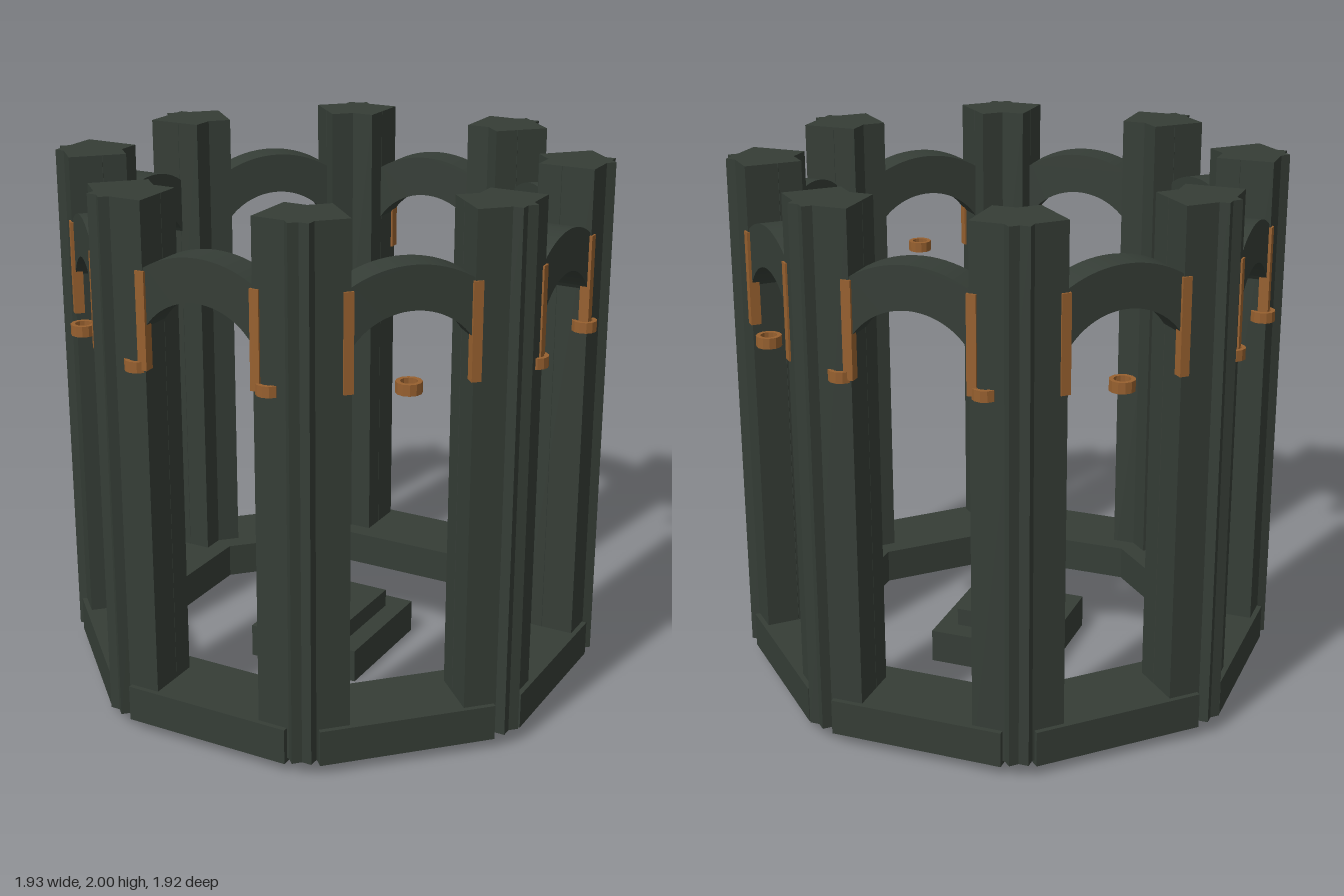
import * as THREE from 'three';

const stone = new THREE.MeshStandardMaterial({ color: 0x353d36 });
stone.name = 'dark green stone';
const copper = new THREE.MeshStandardMaterial({ color: 0x97602f });
copper.name = 'copper';

function add(parent, name, geometry, material, x = 0, y = 0, z = 0) {
  const mesh = new THREE.Mesh(geometry, material);
  mesh.name = name;
  mesh.position.set(x, y, z);
  parent.add(mesh);
  return mesh;
}

// Box given by its bounds on each axis
function block(parent, name, material, [x0, x1], [y0, y1], [z0, z1]) {
  return add(parent, name, new THREE.BoxGeometry(x1 - x0, y1 - y0, z1 - z0), material,
    (x0 + x1) / 2, (y0 + y1) / 2, (z0 + z1) / 2);
}

// Half-ring arch whose springing ends sit inside the columns
function archGeometry(inner, outer, depth) {
  const shape = new THREE.Shape();
  shape.absarc(0, 0, outer, 0, Math.PI, false);
  shape.absarc(0, 0, inner, Math.PI, 0, true);
  return new THREE.ExtrudeGeometry(shape, { depth, bevelEnabled: false, curveSegments: 24 });
}

// Short open collar with a rectangular section
function collarGeometry(inner, outer, height) {
  const h = height / 2;
  const profile = [[inner, -h], [outer, -h], [outer, h], [inner, h], [inner, -h]];
  const lathe = new THREE.LatheGeometry(profile.map(([x, y]) => new THREE.Vector2(x, y)), 12);
  const flat = lathe.toNonIndexed();
  flat.computeVertexNormals();
  return flat;
}

export function createModel() {
  const model = new THREE.Group();
  model.name = 'octagonalArcade';
  const arch = archGeometry(0.255, 0.41, 0.125);
  const collar = collarGeometry(0.03, 0.046, 0.04);

  // Eight identical bays around the octagon
  for (let i = 0; i < 8; i++) {
    const bay = new THREE.Group();
    bay.name = 'bay' + (i + 1);
    bay.rotation.y = (i * Math.PI) / 4;
    model.add(bay);
    block(bay, 'baseBeam', stone, [-0.327, 0.327], [0.04, 0.175], [0.65, 0.955]);
    add(bay, 'arch', arch, stone, 0, 1.42, 0.807);
    for (const s of [-1, 1]) {
      const span = (a, b) => (s > 0 ? [a, b] : [-b, -a]);
      block(bay, 'column', stone, span(0.213, 0.425), [0.055, 2], [0.725, 0.936]);
      block(bay, 'copperStrip', copper, span(0.205, 0.24), [1.41, 1.76], [0.905, 0.943]);
    }
  }

  // Copper collars: a pair at each straight bay, one at each diagonal bay
  for (const sx of [-1, 1]) {
    for (const sz of [-1, 1]) {
      add(model, 'copperCollar', collar, copper, sx * 0.26, 1.42, sz * 0.915);
      add(model, 'copperCollar', collar, copper, sx * 0.92, 1.42, sz * 0.23);
      add(model, 'copperCollar', collar, copper, sx * 0.657, 1.42, sz * 0.68);
    }
  }

  // Stepped pedestal in the centre
  block(model, 'pedestalSlab', stone, [-0.23, 0.23], [0, 0.13], [-0.25, 0.245]);
  block(model, 'pedestalStep', stone, [-0.155, 0.155], [0.13, 0.2], [-0.165, 0.16]);

  return model;
}
